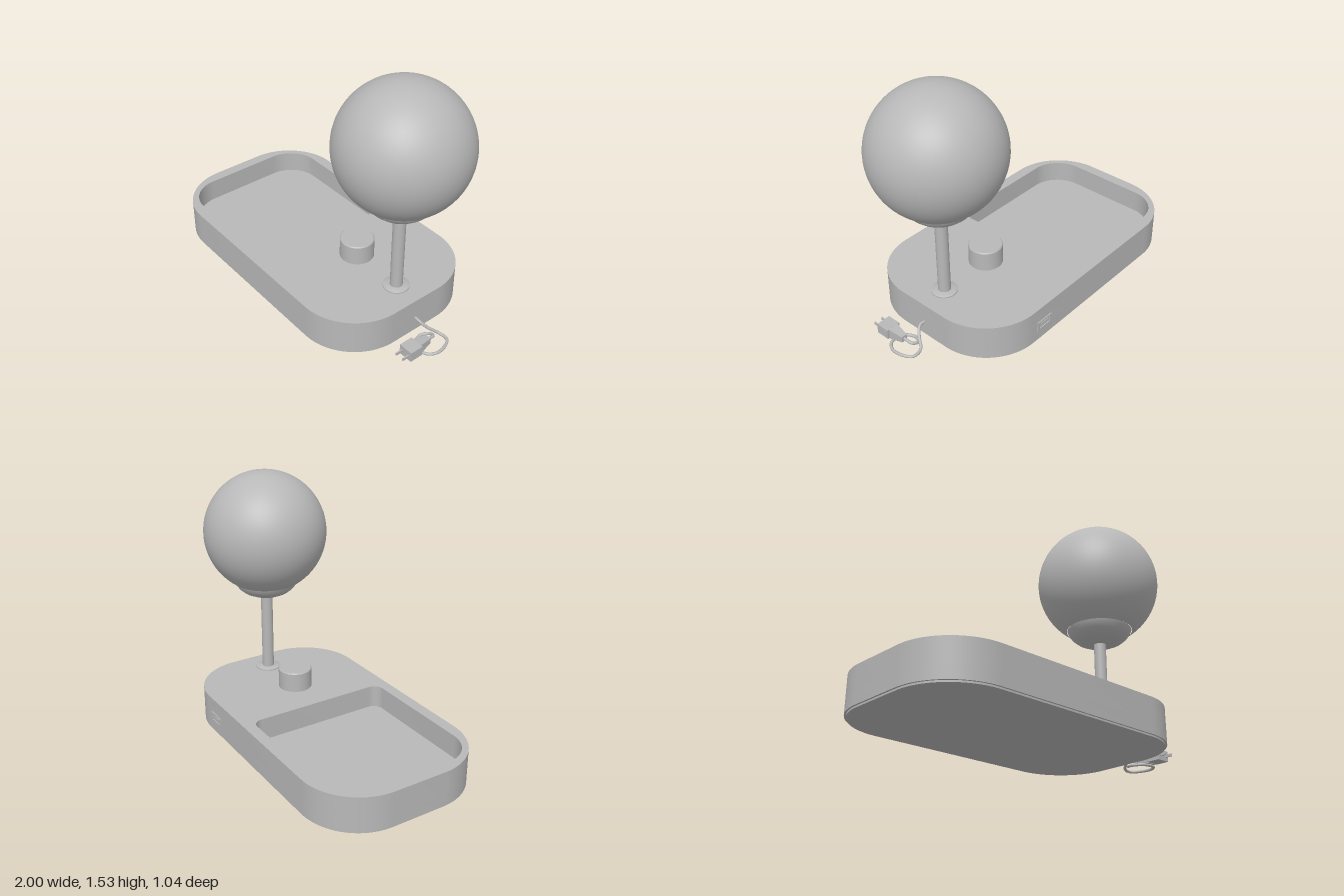
import * as THREE from 'three';
import { toCreasedNormals } from 'three/addons/utils/BufferGeometryUtils.js';

const grey = new THREE.MeshStandardMaterial({ color: 0xb8b8b8 });
grey.name = 'satin grey';

// Rounded rectangle with separate corner radii on its left and right ends
function roundedPath(PathType, x0, x1, halfZ, rLeft, rRight) {
  const p = new PathType();
  p.moveTo(x0 + rLeft, -halfZ);
  p.absarc(x1 - rRight, -halfZ + rRight, rRight, -Math.PI / 2, 0);
  p.absarc(x1 - rRight, halfZ - rRight, rRight, 0, Math.PI / 2);
  p.absarc(x0 + rLeft, halfZ - rLeft, rLeft, Math.PI / 2, Math.PI);
  p.absarc(x0 + rLeft, -halfZ + rLeft, rLeft, Math.PI, Math.PI * 1.5);
  p.closePath();
  return p;
}

// Horizontal plate between two heights
function plate(shape, y0, y1) {
  const g = new THREE.ExtrudeGeometry(shape, { depth: y1 - y0, bevelEnabled: false, curveSegments: 16 });
  g.rotateX(-Math.PI / 2).translate(0, y0, 0);
  return toCreasedNormals(g, 0.6);
}

// Turned part from [radius, height] pairs
function turned(points, segments = 48) {
  const g = new THREE.LatheGeometry(points.map(([r, y]) => new THREE.Vector2(r, y)), segments);
  return toCreasedNormals(g, 0.6);
}

export function createModel() {
  const model = new THREE.Group();
  const add = (name, geometry, x = 0, y = 0, z = 0, parent = model) => {
    const mesh = new THREE.Mesh(geometry, grey);
    mesh.name = name;
    mesh.position.set(x, y, z);
    parent.add(mesh);
    return mesh;
  };
  const group = (name) => {
    const g = new THREE.Group();
    g.name = name;
    model.add(g);
    return g;
  };

  // Base: inset foot, solid floor, and an upper rim cut out for the tray
  const base = group('base');
  const floorY = 0.085;
  const outline = () => roundedPath(THREE.Shape, -1, 0.78, 0.515, 0.35, 0.35);
  const rim = outline();
  rim.holes.push(roundedPath(THREE.Path, -0.93, 0.005, 0.445, 0.2, 0.06));
  add('foot', plate(roundedPath(THREE.Shape, -0.99, 0.77, 0.505, 0.34, 0.34), 0, 0.012), 0, 0, 0, base);
  add('trayFloor', plate(outline(), 0.01, floorY), 0, 0, 0, base);
  add('trayRim', plate(rim, floorY, 0.225), 0, 0, 0, base);

  // Control knob
  const knob = group('knob');
  add('knobCollar', new THREE.CylinderGeometry(0.075, 0.075, 0.015, 40), 0.265, 0.232, 0, knob);
  add('knobCap', turned([[0, 0.236], [0.102, 0.236], [0.102, 0.354], [0.097, 0.36], [0, 0.36]]), 0.265, 0, 0, knob);

  // Lamp: flange, stem, cup and globe
  const lamp = group('lamp');
  const lampX = 0.61;
  add('flange', turned([[0.077, 0.22], [0.077, 0.232], [0.07, 0.236], [0, 0.236]]), lampX, 0, 0, lamp);
  add('stem', new THREE.CylinderGeometry(0.037, 0.037, 0.53, 32), lampX, 0.485, 0, lamp);
  add('cup', turned([
    [0, 0.735], [0.06, 0.738], [0.105, 0.746], [0.145, 0.765], [0.175, 0.79], [0.193, 0.815], [0.2, 0.832], [0, 0.832],
  ]), lampX, 0, 0, lamp);
  add('globe', new THREE.SphereGeometry(0.38, 64, 40, 0, Math.PI * 2, 0, 2.575), lampX, 1.15, 0, lamp);

  // Charging port on the back wall: frame, tongue and recessed panel
  const port = group('chargingPort');
  const frame = new THREE.Shape();
  frame.moveTo(-0.06, -0.03).lineTo(0.06, -0.03).lineTo(0.06, 0.03).lineTo(-0.06, 0.03).closePath();
  const slot = new THREE.Path();
  slot.moveTo(-0.045, -0.018).lineTo(-0.045, 0.018).lineTo(0.045, 0.018).lineTo(0.045, -0.018).closePath();
  frame.holes.push(slot);
  add('portFrame', new THREE.ExtrudeGeometry(frame, { depth: 0.012, bevelEnabled: false }), 0.34, 0.105, -0.521, port);
  add('portTongue', new THREE.BoxGeometry(0.06, 0.012, 0.008), 0.34, 0.11, -0.516, port);

  // Cable leaving the end wall and coiling on the ground
  const cord = group('powerCord');
  const path = new THREE.CatmullRomCurve3([
    [0.76, 0.1, 0], [0.815, 0.092, 0], [0.85, 0.055, -0.03], [0.89, 0.015, -0.08],
    [0.95, 0.01, -0.085], [0.985, 0.01, -0.03], [0.99, 0.01, 0.04], [0.95, 0.01, 0.09],
    [0.87, 0.01, 0.08], [0.835, 0.01, 0.02], [0.86, 0.018, -0.03], [0.9, 0.035, -0.025], [0.912, 0.047, 0.03],
  ].map((p) => new THREE.Vector3(...p)));
  add('cable', new THREE.TubeGeometry(path, 100, 0.009, 10), 0, 0, 0, cord);

  // Plug: tapered grip, body and two prongs pointing forward
  const grip = new THREE.CylinderGeometry(0.046, 0.026, 0.09, 4, 1).rotateY(Math.PI / 4).rotateX(Math.PI / 2);
  add('plugGrip', toCreasedNormals(grip, 0.4), 0.912, 0.048, 0.07, cord);
  add('plugBody', new THREE.BoxGeometry(0.09, 0.062, 0.085), 0.912, 0.05, 0.157, cord);
  for (const side of [-1, 1]) {
    add('prong', new THREE.BoxGeometry(0.008, 0.016, 0.05), 0.912 + side * 0.026, 0.05, 0.22, cord);
  }
  return model;
}
